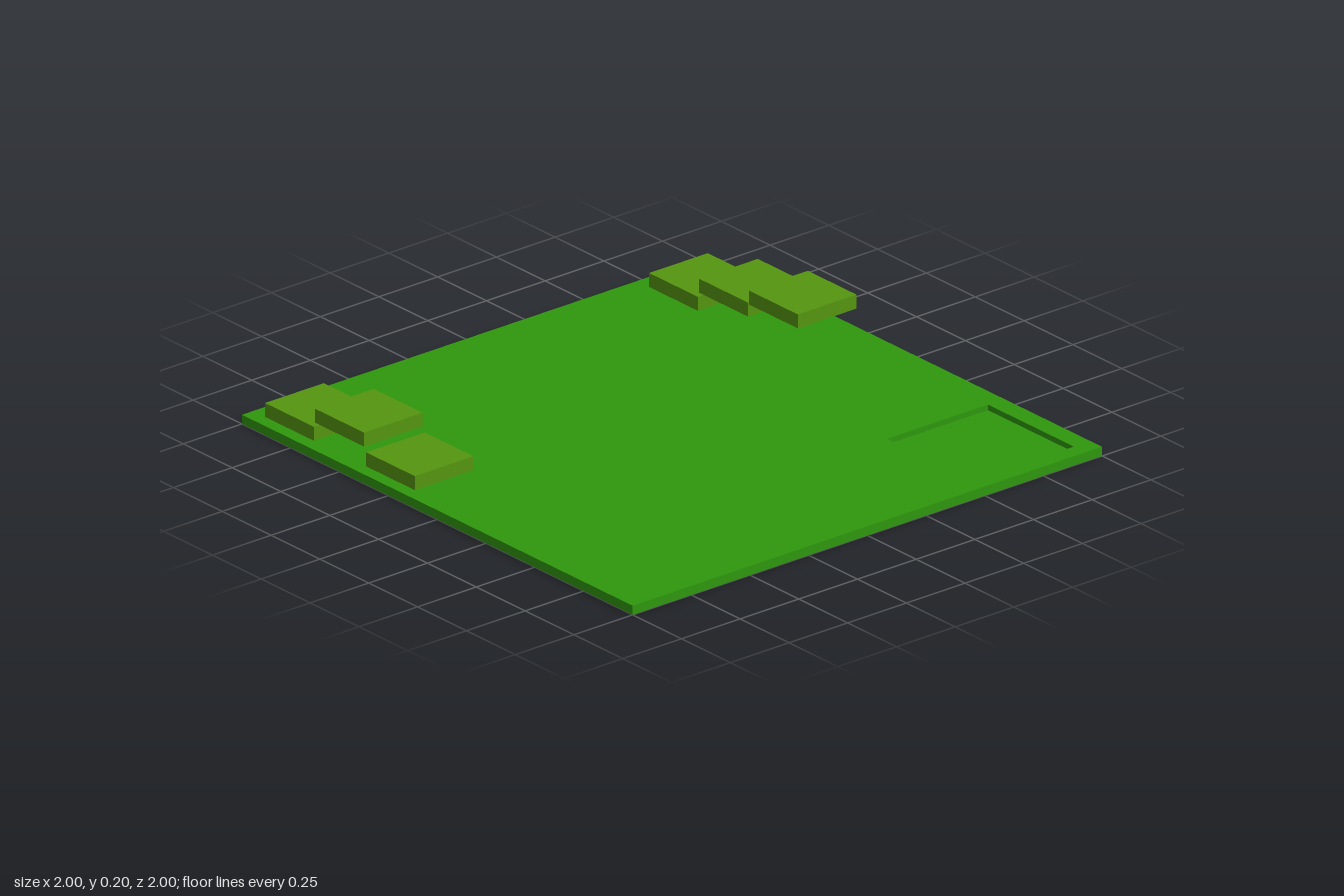
import * as THREE from 'three';

const PLATE_TOP = 0.033;
const RECESS_FLOOR = 0.013;
const BLOCK = { width: 0.25, height: 0.05 };

export function createModel() {
  const model = new THREE.Group();
  model.name = 'platformBoard';
  const grass = new THREE.MeshStandardMaterial({ color: 0x2f980e });
  grass.name = 'grass green';
  const olive = new THREE.MeshStandardMaterial({ color: 0x54950f });
  olive.name = 'olive green';

  const add = (name, geometry, material, x, y, z) => {
    const mesh = new THREE.Mesh(geometry, material);
    mesh.name = name;
    mesh.position.set(x, y, z);
    model.add(mesh);
    return mesh;
  };

  // Solid underside, which is also the floor of the recess
  add('plateBase', new THREE.BoxGeometry(2, RECESS_FLOOR, 2), grass, 0, RECESS_FLOOR / 2, 0);

  // Upper layer with a square opening in the back left corner (shape y = -z)
  const outline = new THREE.Shape([[-1, -1], [1, -1], [1, 1], [-1, 1]].map(p => new THREE.Vector2(...p)));
  outline.holes.push(new THREE.Path(
    [[0.5, 0.5], [0.5, 0.93], [0.94, 0.93], [0.94, 0.5]].map(p => new THREE.Vector2(...p))));
  const layer = new THREE.ExtrudeGeometry(outline, { depth: PLATE_TOP - RECESS_FLOOR, bevelEnabled: false });
  layer.rotateX(-Math.PI / 2);
  add('plateTopWithRecess', layer, grass, 0, RECESS_FLOOR, 0);

  // Two rows of stepping blocks: centre x and underside height of each
  const blockGeometry = new THREE.BoxGeometry(BLOCK.width, BLOCK.height, BLOCK.width);
  const rows = [
    { name: 'backBlock', z: -0.808, blocks: [[-0.813, PLATE_TOP], [-0.557, 0.1], [-0.301, 0.145]] },
    { name: 'frontBlock', z: 0.828, blocks: [[-0.813, PLATE_TOP], [-0.557, 0.1], [-0.296, PLATE_TOP]] },
  ];
  for (const { name, z, blocks } of rows) {
    blocks.forEach(([x, bottom], i) =>
      add(name + (i + 1), blockGeometry, olive, x, bottom + BLOCK.height / 2, z));
  }
  return model;
}
